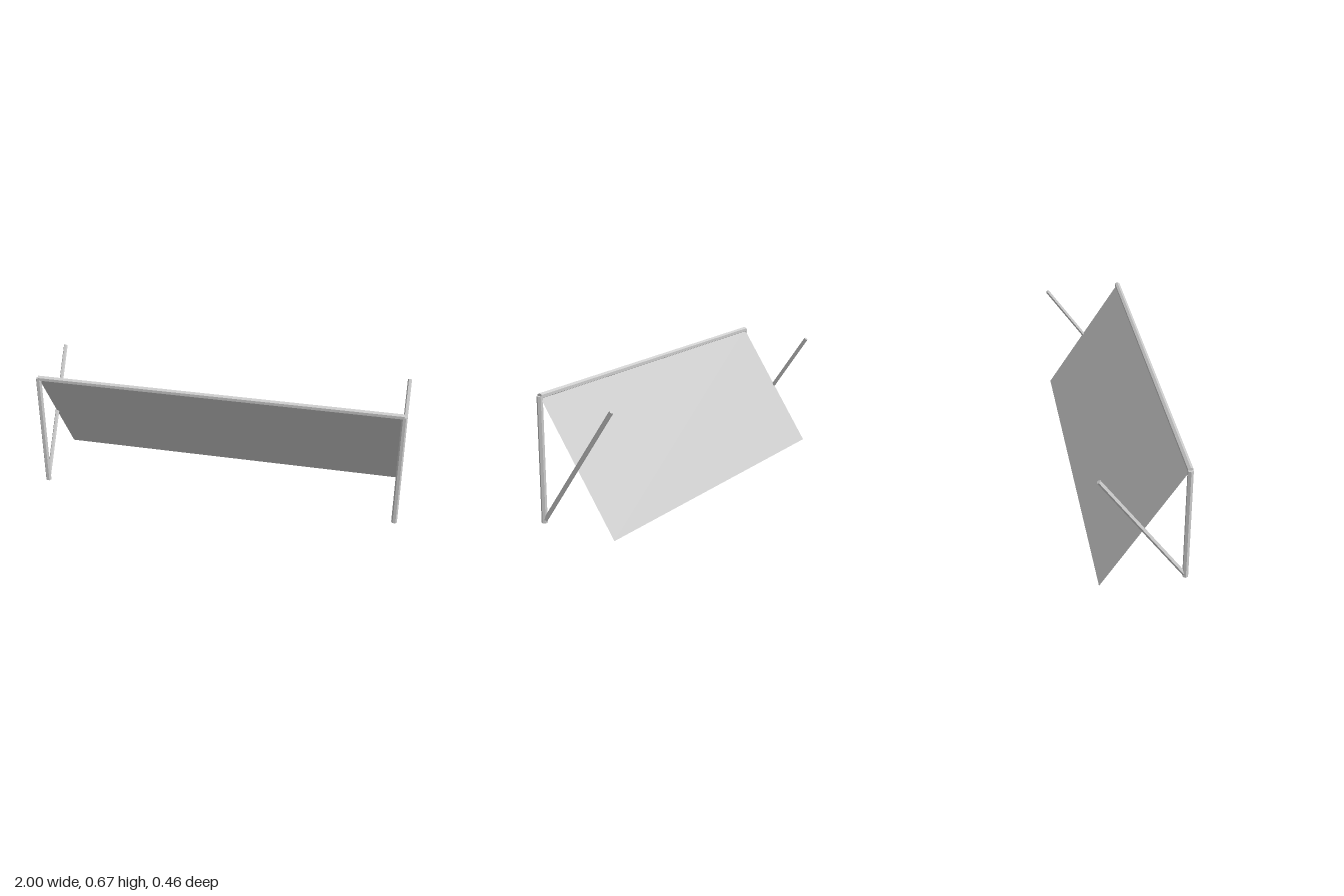
import * as THREE from 'three';

const HALF = 0.9845;   // x of the side frames
const FRONT_Z = 0.216; // z of the upright posts
const BACK_Z = -0.222; // z of the sheet foot and the brace tips
const TOP_Y = 0.657;

export function createModel() {
  const group = new THREE.Group();
  const grey = new THREE.MeshStandardMaterial({ color: 0xcccccc });
  grey.name = 'light grey';
  grey.flatShading = true;
  grey.side = THREE.DoubleSide;

  const add = (name, geometry) => {
    const mesh = new THREE.Mesh(geometry, grey);
    mesh.name = name;
    group.add(mesh);
    return mesh;
  };

  // Six-sided pole along y with corners pointing to +x and -x
  const pole = (radius, length) =>
    new THREE.CylinderGeometry(radius, radius, length, 6).rotateY(Math.PI / 2);

  for (const [side, s] of [['left', 1], ['right', -1]]) {
    // Upright post
    add(side + 'Post', pole(0.0155, TOP_Y)).position.set(s * HALF, TOP_Y / 2, FRONT_Z);

    // Slanted brace from the foot of the post up to the back
    const dy = 0.645 - 0.007, dz = -0.22 - FRONT_Z;
    const brace = add(side + 'Brace', pole(0.0112, Math.hypot(dy, dz)));
    brace.rotation.x = Math.atan2(dz, dy);
    brace.position.set(s * HALF, 0.007 + dy / 2, FRONT_Z + dz / 2);
  }

  // Ridge pole across the tops of the posts
  add('ridgePole', pole(0.0155, HALF * 2).rotateZ(Math.PI / 2)).position.set(0, TOP_Y, FRONT_Z);

  // Sloping roof sheet from the ridge down to the ground at the back
  const drop = FRONT_Z - BACK_Z;
  const sheet = add('roofSheet', new THREE.PlaneGeometry(HALF * 2, Math.hypot(TOP_Y, drop)));
  sheet.rotation.set(Math.atan2(drop, TOP_Y) - Math.PI, 0, Math.PI);
  sheet.position.set(0, TOP_Y / 2, (FRONT_Z + BACK_Z) / 2);

  return group;
}
